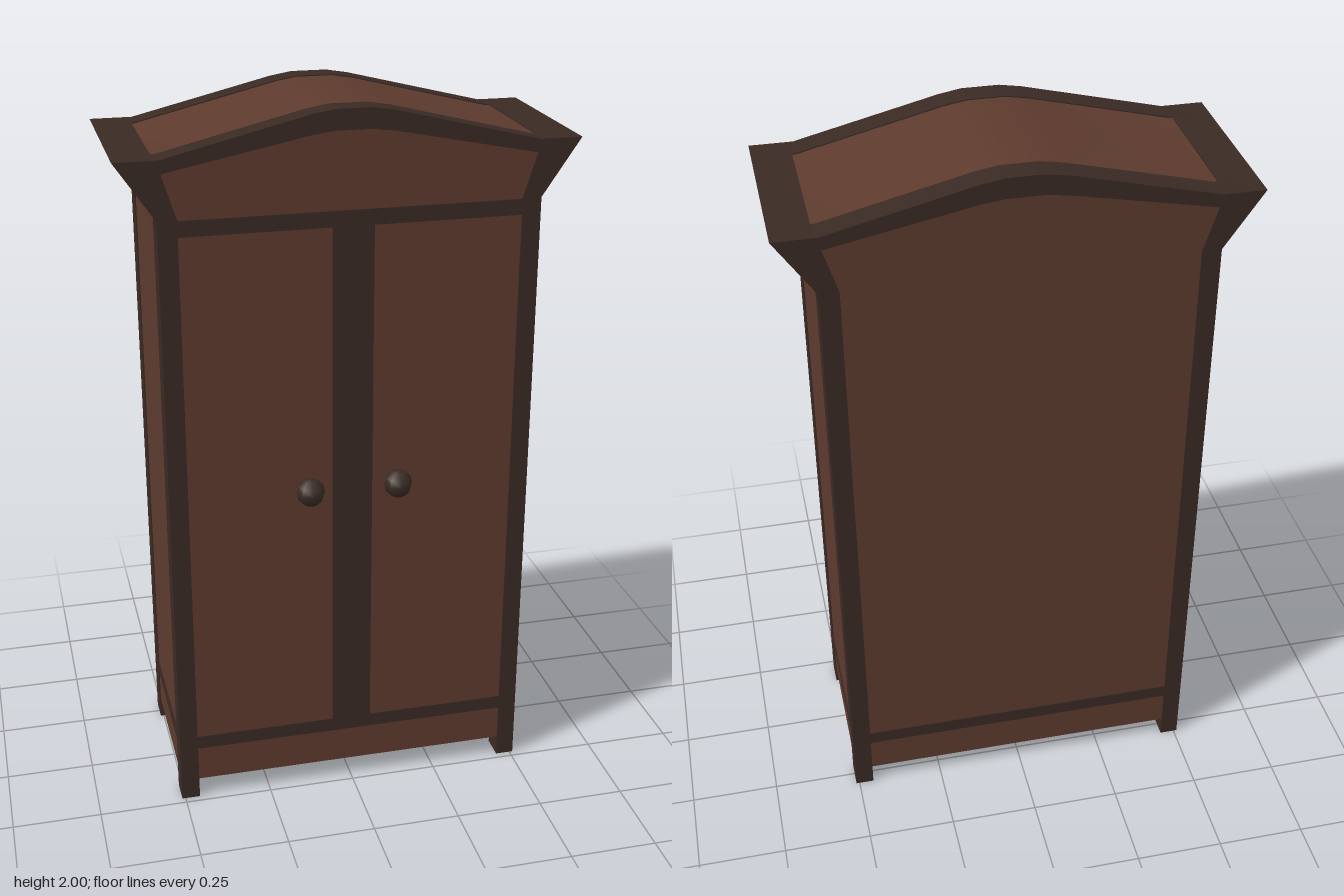
import * as THREE from 'three';
import { toCreasedNormals } from 'three/addons/utils/BufferGeometryUtils.js';

const panelMat = new THREE.MeshStandardMaterial({ color: 0x5e3b2e });
const frameMat = new THREE.MeshStandardMaterial({ color: 0x3a2a24 });

const BACK = -0.29, FRONT = 0.23, POST = 0.07, INSET = 0.003;

// Right half of a profile, bottom to top, completed by its mirror image
const mirrored = (half) => [...half, ...half.map(([x, y]) => [-x, y]).reverse()];

const toShape = (points) => new THREE.Shape(points.map(([x, y]) => new THREE.Vector2(x, y)));

function slab(name, points, z0, z1, material) {
  const geo = new THREE.ExtrudeGeometry(toShape(points), { depth: z1 - z0, bevelEnabled: false });
  geo.translate(0, 0, z0);
  const mesh = new THREE.Mesh(toCreasedNormals(geo, 0.63), material);
  mesh.name = name;
  return mesh;
}

function box(name, x0, x1, y0, y1, z0, z1, material) {
  const mesh = new THREE.Mesh(new THREE.BoxGeometry(x1 - x0, y1 - y0, z1 - z0), material);
  mesh.position.set((x0 + x1) / 2, (y0 + y1) / 2, (z0 + z1) / 2);
  mesh.name = name;
  return mesh;
}

export function createModel() {
  const wardrobe = new THREE.Group();
  wardrobe.name = 'wardrobe';

  // Silhouette: straight sides, flared cornice, arched roof
  const outer = (bottom, d) => [
    [0.51 - d, bottom], [0.51 - d, 1.69], [0.51 - d, 1.74], [0.615 - 2 * d, 1.895 - d],
    [0.5, 1.895 - d], [0.11, 1.99 - d], [0.05, 2 - d],
  ];
  const inner = [[0.458, 0], [0.458, 1.74], [0.495, 1.86], [0.11, 1.937], [0.05, 1.945]];

  // Carcass carrying all the panels
  wardrobe.add(slab('carcassPanels', mirrored(outer(0.06, INSET)), BACK + INSET, FRONT - INSET, panelMat));

  // Front and back frames: legs, posts, cornice and arch in one band
  const band = [...mirrored(outer(0, 0)), ...mirrored(inner).reverse()];
  wardrobe.add(slab('frontFrame', band, FRONT - POST, FRONT, frameMat));
  wardrobe.add(slab('backFrame', band, BACK, BACK + POST, frameMat));

  // Cornice edges running front to back
  for (const s of [1, -1]) {
    const edge = [[0.51, 1.86], [0.591, 1.86], [0.615, 1.895], [0.51, 1.895]].map(([x, y]) => [s * x, y]);
    wardrobe.add(slab(s > 0 ? 'leftCornice' : 'rightCornice', edge, BACK + 0.01, FRONT - 0.01, frameMat));
  }

  // Rails and the stile between the doors
  const e = 0.0005;
  wardrobe.add(box('lowerRail', -0.51 + e, 0.51 - e, 0.165, 0.205, BACK + e, FRONT - e, frameMat));
  wardrobe.add(box('upperRail', -0.48, 0.48, 1.695, 1.738, FRONT - POST, FRONT - e, frameMat));
  wardrobe.add(box('centreStile', -0.056, 0.056, 0.19, 1.71, FRONT - POST, FRONT - e, frameMat));

  // Door knobs
  for (const s of [1, -1]) {
    const knob = new THREE.Mesh(new THREE.SphereGeometry(0.04, 8, 6), frameMat);
    knob.position.set(s * 0.124, 0.96, 0.252);
    knob.name = s > 0 ? 'leftKnob' : 'rightKnob';
    wardrobe.add(knob);
  }
  return wardrobe;
}
